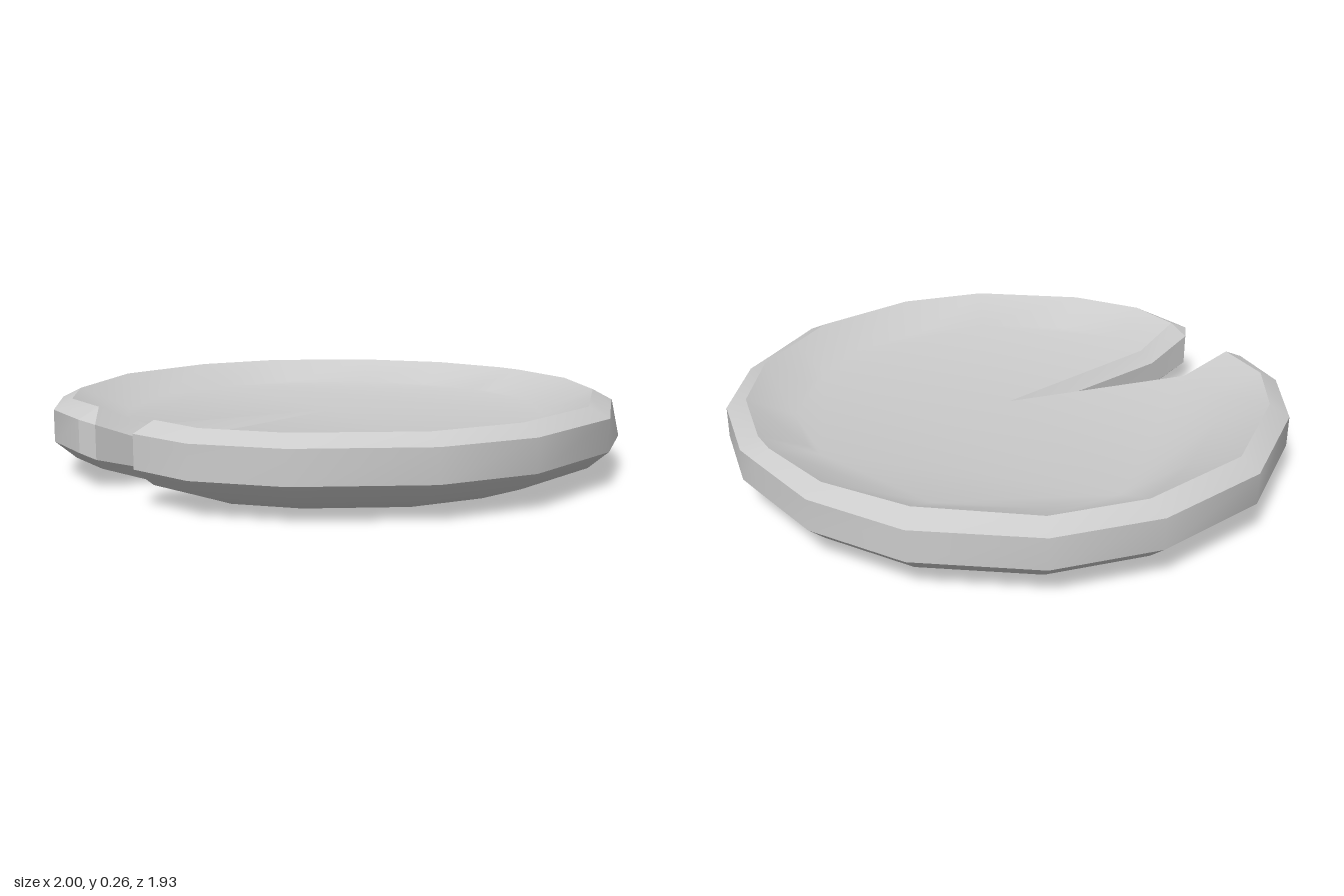
import * as THREE from 'three';
import { toCreasedNormals } from 'three/addons/utils/BufferGeometryUtils.js';

// Rim outlines as [x, z], running counter-clockwise from the right side of the notch
const topRim = [
  [0.17, 0.89], [0.38, 0.87], [0.61, 0.72], [0.86, 0.39], [0.93, 0.07], [0.86, -0.33],
  [0.735, -0.5], [0.61, -0.67], [0.34, -0.84], [0.05, -0.9], [-0.05, -0.9], [-0.34, -0.84],
  [-0.61, -0.67], [-0.86, -0.35], [-0.93, -0.03], [-0.86, 0.38], [-0.61, 0.72],
  [-0.39, 0.87], [-0.17, 0.89],
];
const outerRim = [
  [0.17, 0.965], [0.41, 0.93], [0.66, 0.76], [0.92, 0.41], [1, 0.08], [0.925, -0.36],
  [0.745, -0.6], [0.665, -0.71], [0.38, -0.9], [0.05, -0.965], [-0.05, -0.95], [-0.36, -0.9],
  [-0.67, -0.72], [-0.92, -0.38], [-1, -0.02], [-0.93, 0.4], [-0.67, 0.76],
  [-0.41, 0.93], [-0.17, 0.965],
];
const bulgedRim = outerRim.map((p, i) => (i === 6 ? [0.755, -0.635] : p));

// Shrinks a rim; its two ends are put at the given notch edge
function shrunk(rim, s, [endX, endZ]) {
  const pts = rim.map(([x, z]) => [x * s, z * s]);
  pts[0] = [endX, endZ];
  pts[pts.length - 1] = [-endX, endZ];
  return pts;
}

// Closed ring: rim, then the notch wall (corner, middle, apex, mirrored middle and corner)
function ring(rim, y, corner, middle, apex) {
  const pts = rim.map(([x, z]) => new THREE.Vector3(x, y, z));
  const add = ([x, wy, z], side) => pts.push(new THREE.Vector3(x * side, wy, z));
  add(corner, -1);
  add(middle, -1);
  add(apex, 1);
  add(middle, 1);
  add(corner, 1);
  return pts;
}

function padGeometry() {
  const floorEdge = [0.14, 0.19, 0.72], floorApex = [0, 0.19, 0.03];
  const baseEdge = [0.14, 0, 0.72], baseApex = [0, 0, 0.03];
  const rings = [
    // Dished floor and raised lip
    ring(shrunk(outerRim, 0.76, [0.14, 0.72]), 0.19, floorEdge, floorEdge, floorApex),
    ring(topRim, 0.265, [0.17, 0.265, 0.89], floorEdge, floorApex),
    // Upright rim, with the narrow band of the notch wall
    ring(outerRim, 0.23, [0.125, 0.215, 0.93], [0.1, 0.145, 0.75], [0, 0.145, 0.2]),
    ring(bulgedRim, 0.12, [0.125, 0.1, 0.93], [0.1, 0.05, 0.75], [0, 0.05, 0.2]),
    // Rounded underside
    ring(shrunk(bulgedRim, 0.93, [0.16, 0.89]), 0.06, [0.16, 0.06, 0.89], baseEdge, baseApex),
    ring(shrunk(bulgedRim, 0.76, [0.14, 0.72]), 0, baseEdge, baseEdge, baseApex),
  ];
  const pos = [];
  const tri = (a, b, c) => {
    if (new THREE.Triangle(a, b, c).getArea() < 1e-6) return; // rings share some notch points
    [a, b, c].forEach((v) => pos.push(v.x, v.y, v.z));
  };

  // Side bands between neighbouring rings
  for (let r = 0; r < rings.length - 1; r++) {
    const up = rings[r], lo = rings[r + 1], n = up.length;
    for (let j = 0; j < n; j++) {
      const k = (j + 1) % n;
      tri(lo[j], lo[k], up[k]);
      tri(lo[j], up[k], up[j]);
    }
  }

  // Flat floor of the dish and flat base
  const cap = (pts, flip) => {
    const flat = pts.map((p) => new THREE.Vector2(p.x, -p.z));
    for (const [a, b, c] of THREE.ShapeUtils.triangulateShape(flat, [])) {
      if (flip) tri(pts[a], pts[c], pts[b]);
      else tri(pts[a], pts[b], pts[c]);
    }
  };
  cap(rings[0], false);
  cap(rings[rings.length - 1], true);

  const geo = new THREE.BufferGeometry();
  geo.setAttribute('position', new THREE.Float32BufferAttribute(pos, 3));
  return toCreasedNormals(geo, THREE.MathUtils.degToRad(30));
}

export function createModel() {
  const group = new THREE.Group();
  group.name = 'lilyPad';
  const leaf = new THREE.Mesh(padGeometry(), new THREE.MeshStandardMaterial({ color: 0xcccccc }));
  leaf.name = 'notchedLeaf';
  group.add(leaf);
  return group;
}
